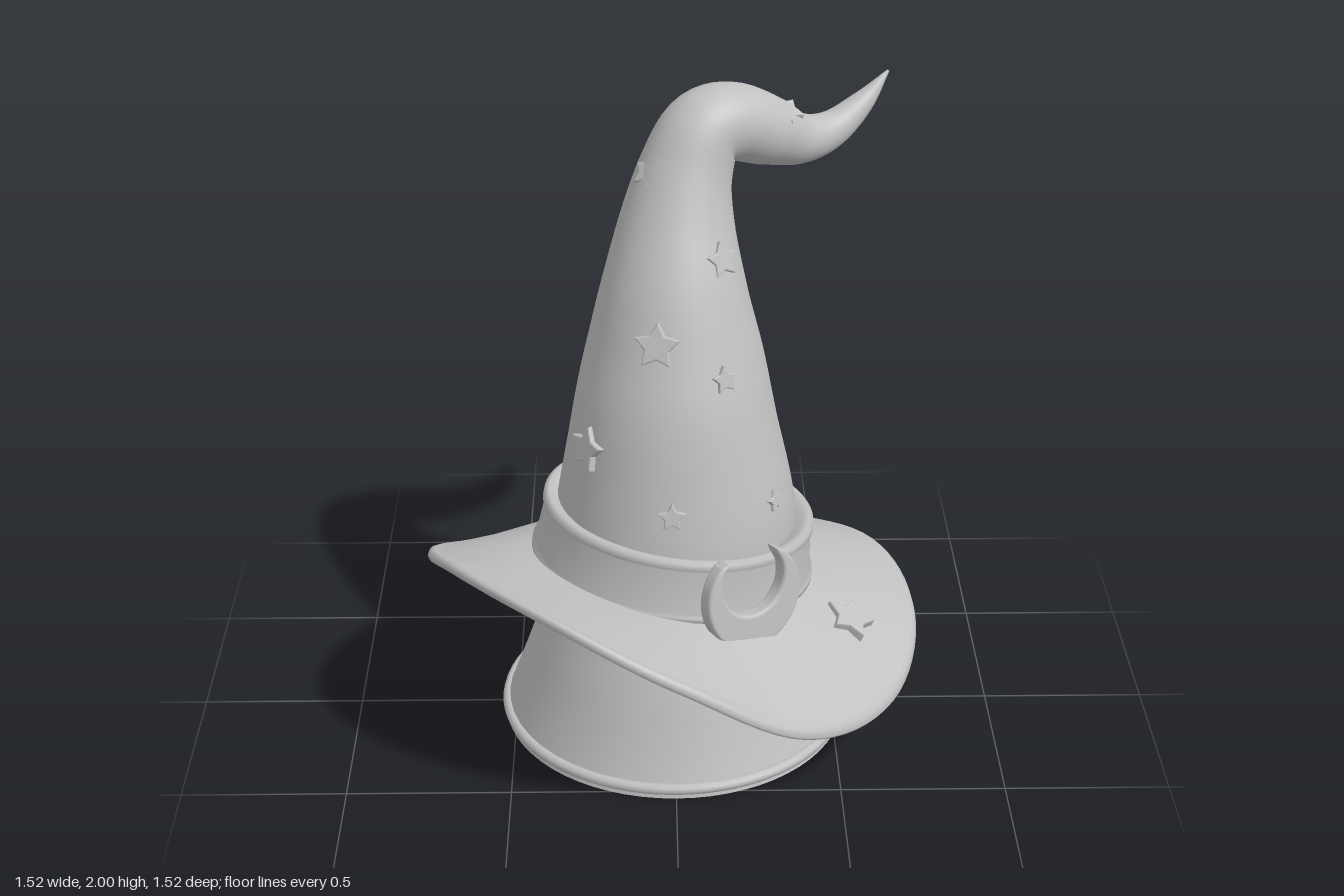
import * as THREE from 'three';

const felt = new THREE.MeshStandardMaterial({ color: 0xc0c0c0 });
felt.name = 'grey felt';

// Joins rings of equal point count into one smooth skin
function loft(rings) {
  const n = rings[0].length, index = [];
  for (let i = 0; i < rings.length - 1; i++) {
    for (let j = 0; j < n; j++) {
      const a = i * n + j, b = i * n + (j + 1) % n;
      index.push(a, a + n, b, b, a + n, b + n);
    }
  }
  const geo = new THREE.BufferGeometry().setFromPoints(rings.flat());
  geo.setIndex(index);
  geo.computeVertexNormals();
  return geo;
}

function add(parent, name, geo) {
  const mesh = new THREE.Mesh(geo, felt);
  mesh.name = name;
  parent.add(mesh);
  return mesh;
}

// Crown spine: x, y, z, radius
const SPINE = [
  [0, 0.03, 0, 0.53], [0, 0.25, 0, 0.45], [0, 0.48, -0.01, 0.378],
  [0.005, 0.72, -0.02, 0.368], [0, 1.0, -0.025, 0.315], [0, 1.2, -0.047, 0.275],
  [0, 1.4, -0.072, 0.225], [0.01, 1.6, -0.12, 0.175], [0.035, 1.75, -0.158, 0.142],
  [0.085, 1.86, -0.195, 0.125], [0.17, 1.875, -0.245, 0.117], [0.28, 1.825, -0.305, 0.105],
  [0.38, 1.775, -0.365, 0.078], [0.48, 1.78, -0.425, 0.058], [0.58, 1.845, -0.485, 0.036],
  [0.66, 1.93, -0.53, 0.004],
];

function crownGeometry() {
  const path = new THREE.CatmullRomCurve3(SPINE.map(p => new THREE.Vector3(p[0], p[1], p[2])), false, 'catmullrom');
  const radius = new THREE.CatmullRomCurve3(SPINE.map(p => new THREE.Vector3(p[3], 0, 0)), false, 'catmullrom');
  const u = new THREE.Vector3(1, 0, 0), rings = [];
  const steps = 90, sides = 48;
  for (let i = 0; i <= steps; i++) {
    const c = path.getPoint(i / steps), t = path.getTangent(i / steps);
    const r = Math.max(radius.getPoint(i / steps).x, 0.003);
    u.addScaledVector(t, -u.dot(t)).normalize();
    const v = new THREE.Vector3().crossVectors(u, t);
    rings.push(Array.from({ length: sides }, (_, j) => {
      const a = j / sides * Math.PI * 2;
      return c.clone().addScaledVector(u, r * Math.cos(a)).addScaledVector(v, r * Math.sin(a));
    }));
  }
  return loft(rings);
}

// Brim edge height every 30 degrees, from the left side round by the front
const EDGE = [0.32, 0.25, 0.31, 0.54, 0.705, 0.71, 0.55, 0.36, 0.26, 0.245, 0.29, 0.355];
const edgeCurve = new THREE.CatmullRomCurve3(EDGE.map((y, i) => new THREE.Vector3(i, y, 0)), true, 'catmullrom');
const INNER = 0.35, OUTER = 0.75;

function brimPoint(a, s, dy) {
  const r = INNER + (OUTER - INNER) * s;
  const x = Math.cos(a), z = Math.sin(a);
  const inner = 0.525 - 0.045 * x + 0.03 * z;
  const edge = edgeCurve.getPoint(a / (Math.PI * 2)).y;
  return new THREE.Vector3(x * r, inner + (edge - inner) * Math.pow(Math.max(s, 0), 1.25) + dy, z * r);
}

function brimGeometry() {
  const profile = [];
  for (let i = 0; i <= 12; i++) profile.push([i / 12, -0.016]);
  profile.push([1.015, -0.014], [1.03, 0], [1.015, 0.018], [0.98, 0.02], [0.95, 0.014]);
  for (let i = 11; i >= 0; i--) profile.push([i / 12, 0.014]);
  return loft(profile.map(([s, dy]) =>
    Array.from({ length: 96 }, (_, j) => brimPoint(j / 96 * Math.PI * 2, s, dy))));
}

function starGeometry(size) {
  const shape = new THREE.Shape();
  for (let i = 0; i < 10; i++) {
    const a = Math.PI / 2 + i * Math.PI / 5, r = size * (i % 2 ? 0.5 : 0.95);
    shape[i ? 'lineTo' : 'moveTo'](Math.cos(a) * r, Math.sin(a) * r);
  }
  shape.closePath();
  return new THREE.ExtrudeGeometry(shape, {
    depth: 0.024, bevelEnabled: true, bevelSize: size * 0.08, bevelThickness: 0.006, bevelSegments: 2,
  }).translate(0, 0, -0.012);
}

// Crescent opening upward
function moonGeometry() {
  const shape = new THREE.Shape(), R = 0.155, r = 0.118, lift = 0.052;
  const y = (R * R - r * r + lift * lift) / (2 * lift);
  const x = Math.sqrt(R * R - y * y);
  const outer = Math.atan2(y, x), inner = Math.atan2(y - lift, x);
  shape.absarc(0, 0, R, Math.PI - outer, outer + Math.PI * 2, false);
  shape.absarc(0, lift, r, inner, Math.PI - inner, true);
  return new THREE.ExtrudeGeometry(shape, {
    depth: 0.03, bevelEnabled: true, bevelSize: 0.01, bevelThickness: 0.012, bevelSegments: 3, curveSegments: 40,
  }).translate(0, 0, -0.015);
}

export function createModel() {
  const hat = new THREE.Group();
  hat.name = 'pointed hat';

  // Crown with its bent tip
  add(hat, 'crown', crownGeometry());

  // Base disc with a rolled hem
  add(hat, 'base', new THREE.CylinderGeometry(0.53, 0.538, 0.036, 64)).position.y = 0.018;
  const hem = add(hat, 'hem', new THREE.TorusGeometry(0.529, 0.018, 10, 72));
  hem.rotation.x = Math.PI / 2;
  hem.position.y = 0.028;

  // Wavy brim
  add(hat, 'brim', brimGeometry());

  // Tilted band with raised edges
  const profile = [[0.36, -0.1], [0.425, -0.1], [0.438, -0.09], [0.438, -0.075], [0.428, -0.068],
    [0.412, 0.065], [0.42, 0.072], [0.418, 0.092], [0.405, 0.1], [0.385, 0.095], [0.36, 0.075]];
  const band = add(hat, 'band', new THREE.LatheGeometry(profile.map(p => new THREE.Vector2(...p)), 72));
  band.position.set(0.005, 0.625, -0.01);
  band.rotation.set(-0.06, 0, -0.12);

  // Crescent buckle
  const moon = add(hat, 'crescentBuckle', moonGeometry());
  moon.position.set(0.222, 0.618, 0.372);
  moon.lookAt(0.222 + 0.54, 0.618 + 0.12, 0.372 + 0.84);

  // Stars: position, size, facing
  const stars = [
    [-0.05, 1.34, 0.17, 0.068, -0.2, 0.35, 1],
    [0.135, 1.55, 0.03, 0.053, 0.7, 0.45, 1],
    [0.14, 1.235, 0.177, 0.04, 0.6, 0.3, 1],
    [-0.255, 1.0, 0.16, 0.066, -1.2, 0.35, 0.9],
    [-0.01, 0.855, 0.32, 0.04, 0, 0.25, 1],
    [0.29, 0.825, 0.17, 0.032, 1, 0.25, 0.7],
    [-0.07, 1.775, -0.09, 0.05, -0.7, 0.6, 0.6],
    [0.335, 1.885, -0.295, 0.052, 0.45, 0.8, 0.3],
  ];
  const b = brimPoint(0.32, 0.54, 0.018);
  stars.push([b.x, b.y, b.z, 0.076, 0.45, 1, 0.2]);
  for (const [x, y, z, size, nx, ny, nz] of stars) {
    const star = add(hat, 'star', starGeometry(size));
    star.position.set(x, y, z);
    star.lookAt(x + nx, y + ny, z + nz);
  }
  return hat;
}
